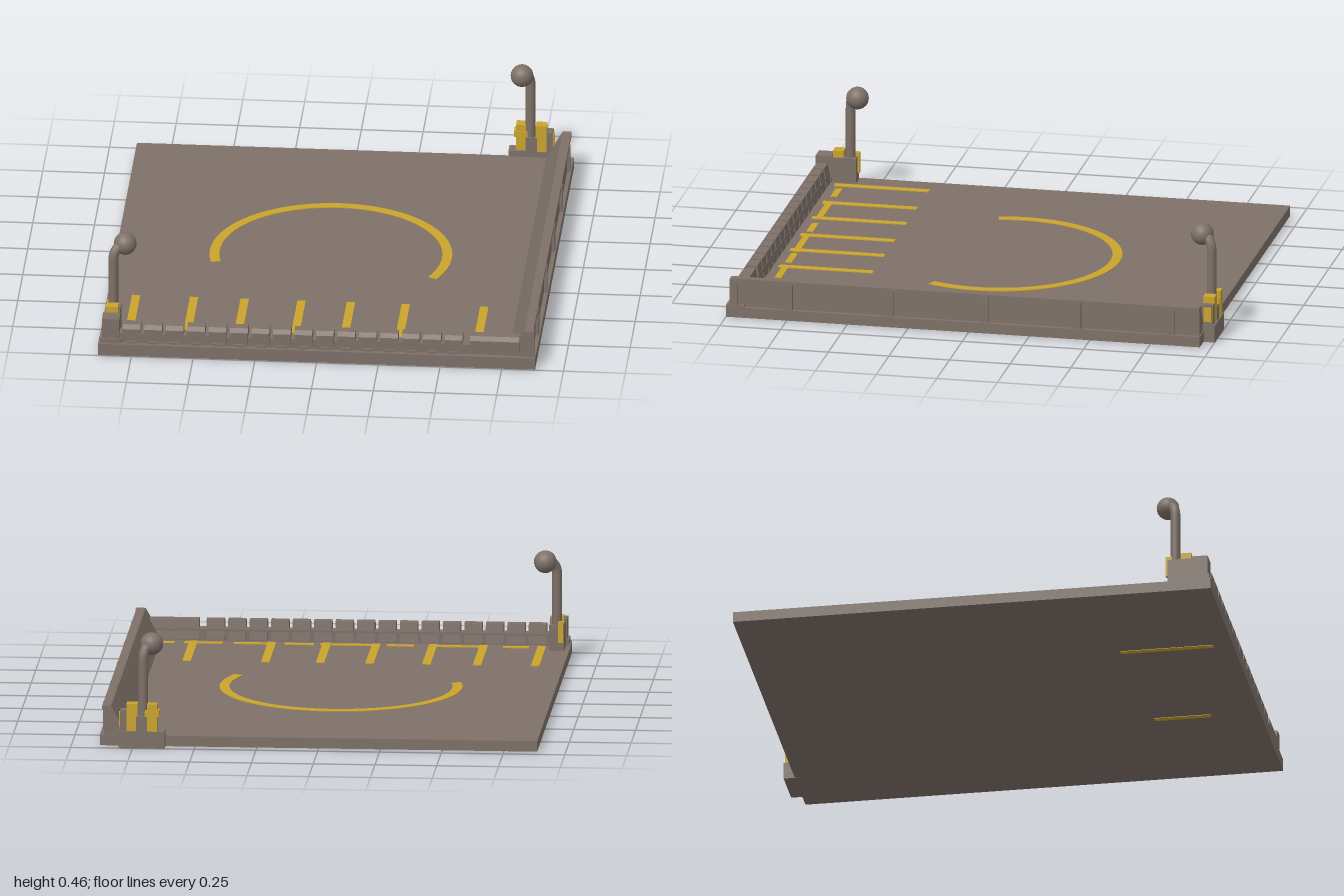
import * as THREE from 'three';

const concrete = new THREE.MeshStandardMaterial({ color: 0x7e7168 });
concrete.name = 'warm grey concrete';
const yellow = new THREE.MeshStandardMaterial({ color: 0xcaa42e });
yellow.name = 'marking yellow';

const FLOOR = 0.045;

export function createModel() {
  const model = new THREE.Group();

  const add = (name, geometry, material = concrete) => {
    const mesh = new THREE.Mesh(geometry, material);
    mesh.name = name;
    model.add(mesh);
    return mesh;
  };
  // Box given by its extents
  const box = (name, x0, x1, y0, y1, z0, z1, material) => {
    const mesh = add(name, new THREE.BoxGeometry(x1 - x0, y1 - y0, z1 - z0), material);
    mesh.position.set((x0 + x1) / 2, (y0 + y1) / 2, (z0 + z1) / 2);
    return mesh;
  };
  const extrude = (points, depth) => new THREE.ExtrudeGeometry(
    new THREE.Shape(points.map(([a, b]) => new THREE.Vector2(a, b))),
    { depth, bevelEnabled: false });

  // Landing slab with a slightly raised front kerb and right kerb
  box('slab', -0.885, 0.885, 0.002, FLOOR, -0.955, 1);
  box('frontKerb', -0.885, 0.885, FLOOR, 0.052, 0.925, 1);

  // Right wall: sloped inner face, ribs on the outer face
  add('rightWall', extrude([
    [0.765, 0.03], [0.868, 0.03], [0.868, 0.155], [0.862, 0.162], [0.84, 0.162],
  ], 1.935)).position.z = -0.95;
  box('wallCap', 0.845, 0.876, 0.148, 0.163, -0.95, 0.985);
  for (const z of [0.745, 0.33, -0.065, -0.445, -0.83]) {
    box('wallRib', 0.86, 0.88, 0.04, 0.155, z - 0.018, z + 0.018);
  }
  box('wallEndRib', 0.86, 0.88, 0.04, 0.16, 0.955, 0.985);

  // Front parapet: low rail carrying a row of tapered blocks
  box('frontRail', -0.81, 0.86, FLOOR, 0.092, 0.925, 0.978);
  const blockProfile = [[-0.92, 0.05], [-0.932, 0.13], [-0.972, 0.13], [-0.988, 0.115], [-0.988, 0.068]];
  const parapetBlock = (x, width) => {
    const mesh = add('parapetBlock', extrude(blockProfile.slice().reverse(), width));
    mesh.rotation.y = Math.PI / 2;
    mesh.position.x = x;
  };
  for (let i = 0; i < 16; i++) {
    const x = -0.75 + i * 0.0869;
    parapetBlock(x - 0.036, 0.072);
    box('railStud', x - 0.02, x + 0.02, 0.05, 0.062, 0.97, 0.988);
  }
  parapetBlock(0.62, 0.2);

  // Left corner post and lamp plinth
  box('cornerPost', -0.87, -0.80, FLOOR, 0.156, 0.92, 0.985);
  box('cornerPostFoot', -0.878, -0.79, FLOOR, 0.072, 0.92, 0.992);
  box('lampPlinth', -0.865, -0.805, FLOOR, 0.15, 0.82, 0.92);
  box('frontLampClamp', -0.86, -0.81, 0.08, 0.178, 0.872, 0.916, yellow);
  box('frontLampClampSmall', -0.862, -0.842, 0.08, 0.165, 0.812, 0.838, yellow);

  // Rear bracket with yellow clamps either side of the pole
  box('rearBracket', 0.62, 0.805, 0, 0.07, -1, -0.945);
  box('rearBracketBack', 0.69, 0.735, 0.04, 0.13, -0.995, -0.945);
  box('rearBracketSide', 0.775, 0.80, 0.05, 0.155, -0.992, -0.945);
  box('rearClampOuter', 0.65, 0.69, 0.05, 0.182, -1, -0.955, yellow);
  box('rearClampInner', 0.73, 0.775, 0.05, 0.182, -0.993, -0.945, yellow);
  box('rearClampFlange', 0.642, 0.70, 0.13, 0.155, -0.998, -0.95, yellow);
  box('rearClampPlate', 0.79, 0.806, 0.085, 0.145, -0.985, -0.955, yellow);

  // Lamps: bent pole ending in a ball
  const lamp = (name, base, ball) => {
    const [x, y, z] = base;
    const head = new THREE.Vector3(...ball);
    const path = new THREE.CurvePath();
    const lower = new THREE.Vector3(x, 0.355, z);
    path.add(new THREE.LineCurve3(new THREE.Vector3(x, y, z), lower));
    path.add(new THREE.QuadraticBezierCurve3(lower, new THREE.Vector3(x, 0.415, z), head));
    add(name + 'Pole', new THREE.TubeGeometry(path, 32, 0.02, 12));
    add(name + 'Ball', new THREE.SphereGeometry(0.046, 20, 14)).position.copy(head);
  };
  lamp('frontLamp', [-0.835, 0.1, 0.848], [-0.79, 0.414, 0.81]);
  lamp('rearLamp', [0.708, 0.06, -0.967], [0.677, 0.417, -0.922]);

  // Painted landing arc
  const start = Math.atan2(-0.21, 0.46);
  const end = Math.PI + Math.atan2(0.11, 0.475);
  const arc = new THREE.Shape();
  arc.absarc(0, 0, 0.49, start, end, false);
  arc.absarc(0, 0, 0.45, end, start, true);
  const arcMesh = add('landingArc', new THREE.ExtrudeGeometry(arc,
    { depth: 0.003, bevelEnabled: false, curveSegments: 48 }), yellow);
  arcMesh.rotation.x = -Math.PI / 2;
  arcMesh.position.set(-0.018, FLOOR, 0.055);

  // Painted bay lines and the dashed cross line
  for (const x of [-0.77, -0.535, -0.33, -0.1, 0.1, 0.322, 0.64]) {
    box('bayLine', x - 0.017, x + 0.017, FLOOR, FLOOR + 0.003, 0.51, 0.9, yellow);
  }
  for (const [a, b] of [[-0.72, -0.615], [-0.55, -0.315], [-0.255, -0.145], [-0.115, 0.125],
    [0.15, 0.27], [0.315, 0.475], [0.52, 0.675], [0.715, 0.765]]) {
    box('crossDash', a, b, FLOOR, FLOOR + 0.0035, 0.857, 0.885, yellow);
  }

  // Painted marks on the underside
  box('undersideMark', 0.303, 0.328, 0, 0.006, 0.57, 0.8, yellow);
  box('undersideMark', -0.35, -0.325, 0, 0.006, 0.54, 0.92, yellow);

  return model;
}
